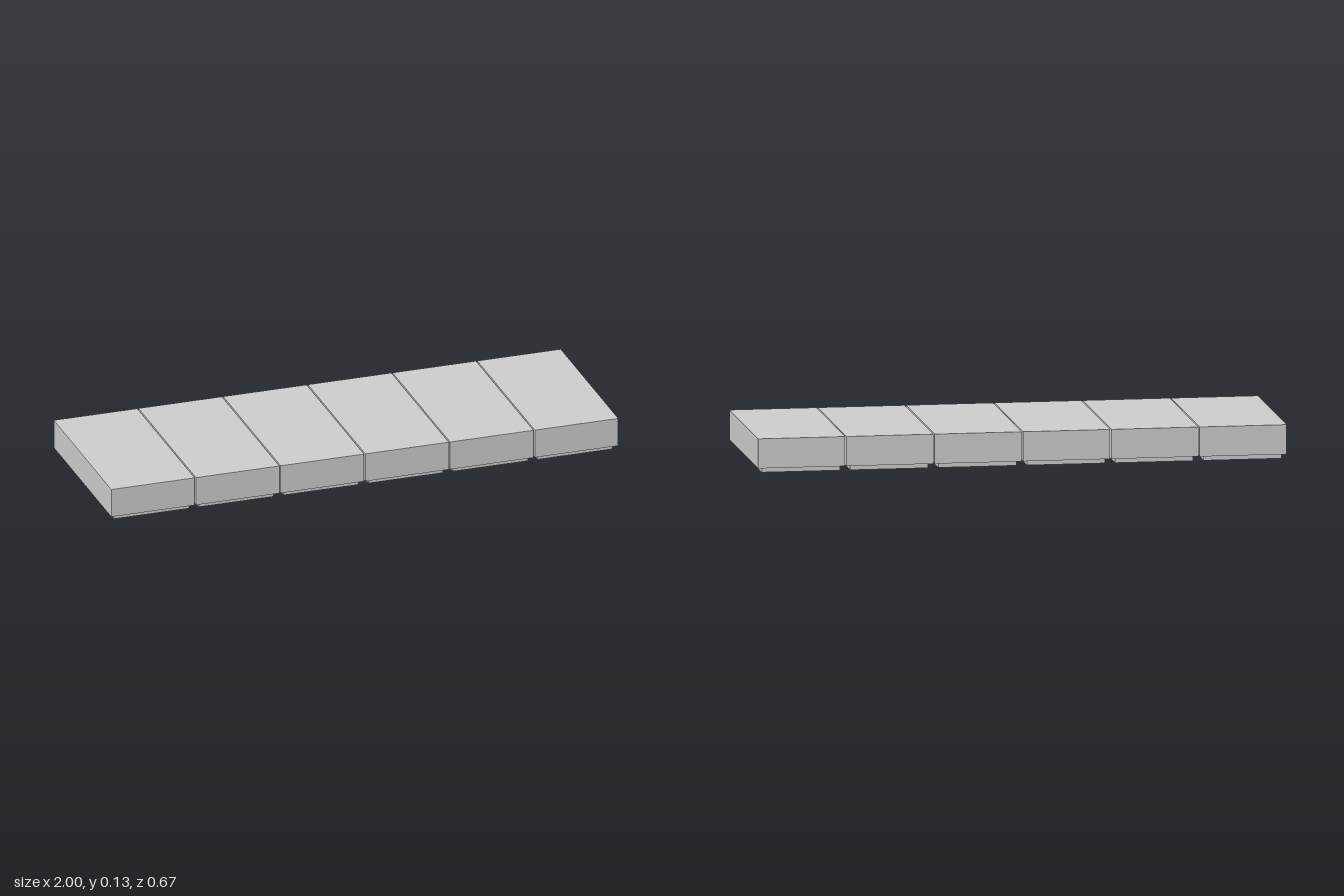
import * as THREE from 'three';

const COUNT = 6;
const GAP = 0.005;
const WIDTH = (2 - GAP * (COUNT - 1)) / COUNT;
const DEPTH = 0.665;
const HEIGHT = 0.13;
const FOOT_HEIGHT = 0.018;
const FOOT_INSET = 0.017;
const RIM = 0.05;
const RECESS_TOP = 0.06;

// Closed block skinned through rectangular loops, from the top face
// down the outside, under the foot and up into the hollow.
function createBlockGeometry() {
  const inner = FOOT_INSET + RIM;
  const loops = [
    [0, HEIGHT],
    [0, FOOT_HEIGHT],
    [FOOT_INSET, FOOT_HEIGHT],
    [FOOT_INSET, 0],
    [inner, 0],
    [inner, RECESS_TOP],
  ].map(([inset, y]) => {
    const x = WIDTH / 2 - inset;
    const z = DEPTH / 2 - inset;
    return [[x, y, z], [x, y, -z], [-x, y, -z], [-x, y, z]];
  });

  const positions = [];
  const quad = (a, b, c, d) => positions.push(...a, ...b, ...c, ...a, ...c, ...d);

  quad(...loops[0]);
  for (let i = 0; i < loops.length - 1; i++) {
    for (let k = 0; k < 4; k++) {
      const n = (k + 1) % 4;
      quad(loops[i][k], loops[i + 1][k], loops[i + 1][n], loops[i][n]);
    }
  }
  quad(...loops[loops.length - 1].slice().reverse());

  const geometry = new THREE.BufferGeometry();
  geometry.setAttribute('position', new THREE.Float32BufferAttribute(positions, 3));
  geometry.computeVertexNormals();
  return geometry;
}

export function createModel() {
  const model = new THREE.Group();
  model.name = 'blockRow';
  const material = new THREE.MeshStandardMaterial({ color: 0xcccccc, flatShading: true });
  const geometry = createBlockGeometry();

  // Row of identical hollow-bottomed blocks
  for (let i = 0; i < COUNT; i++) {
    const block = new THREE.Mesh(geometry, material);
    block.name = `block${i + 1}`;
    block.position.x = (i - (COUNT - 1) / 2) * (WIDTH + GAP);
    model.add(block);
  }
  return model;
}
